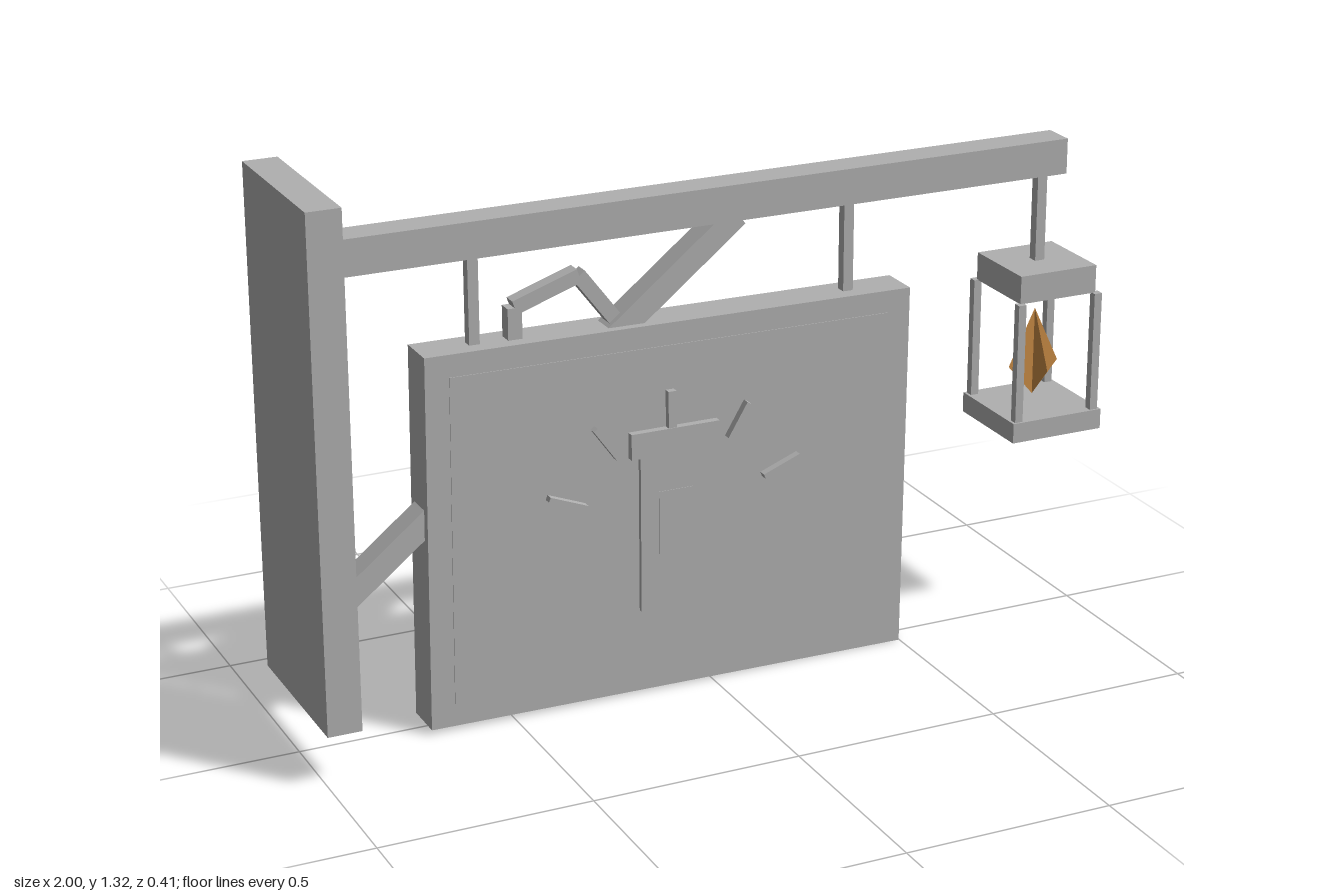
import * as THREE from 'three';

const grey = new THREE.MeshStandardMaterial({ color: 0xb0b0b0 });
grey.name = 'grey';
const amber = new THREE.MeshStandardMaterial({ color: 0xc98b45, side: THREE.DoubleSide });
amber.name = 'amber';

export function createModel() {
  const root = new THREE.Group();
  root.name = 'hangingSign';

  // box given by its extents on each axis
  function box(name, x0, x1, y0, y1, z0, z1, parent = root) {
    const m = new THREE.Mesh(new THREE.BoxGeometry(x1 - x0, y1 - y0, z1 - z0), grey);
    m.position.set((x0 + x1) / 2, (y0 + y1) / 2, (z0 + z1) / 2);
    m.name = name;
    parent.add(m);
    return m;
  }

  // square bar running between two points in the sign's plane
  function bar(name, [ax, ay], [bx, by], width, depth, z = 0, parent = root) {
    const length = Math.hypot(bx - ax, by - ay);
    const m = new THREE.Mesh(new THREE.BoxGeometry(length, width, depth), grey);
    m.position.set((ax + bx) / 2, (ay + by) / 2, z);
    m.rotation.z = Math.atan2(by - ay, bx - ax);
    m.name = name;
    parent.add(m);
    return m;
  }

  // wall plate, beam and diagonal brace
  box('wallPlate', -1, -0.92, 0.125, 1.32, -0.205, 0.205);
  box('beam', -0.92, 0.925, 1.11, 1.195, -0.04, 0.04);
  bar('brace', [-0.94, 0.31], [0.075, 1.12], 0.056, 0.06);

  // hanging rods
  for (const x of [-0.56, 0.365]) box('boardRod', x - 0.0125, x + 0.0125, 0.88, 1.12, -0.0125, 0.0125);
  box('lanternRod', 0.865, 0.89, 0.88, 1.12, -0.0125, 0.0125);

  // sign board, hanging very slightly crooked, with a faint inner panel
  const board = box('board', -0.697, 0.503, 0.005, 0.898, -0.05, 0.05);
  board.rotation.z = -0.01;
  const panel = box('boardPanel', -0.64, 0.445, 0.06, 0.845, -0.052, 0.052);
  panel.rotation.z = -0.01;

  // bent handle standing on the board
  const bend = [[-0.465, 0.88], [-0.465, 0.975], [-0.31, 1.028], [-0.205, 0.89]];
  for (let i = 0; i < 3; i++) bar('bentHandle', bend[i], bend[i + 1], 0.034, 0.034);

  // candle emblem and rays on both faces
  const rays = [
    [[-0.298, 0.678], [-0.242, 0.6]],
    [[-0.412, 0.53], [-0.32, 0.494]],
    [[0.037, 0.602], [0.085, 0.682]],
    [[0.125, 0.494], [0.217, 0.53]],
  ];
  for (const s of [1, -1]) {
    const emblem = new THREE.Group();
    emblem.name = s > 0 ? 'frontEmblem' : 'backEmblem';
    const plate = (name, x0, x1, y0, y1, z) =>
      box(name, x0, x1, y0, y1, Math.min(s * 0.045, s * z), Math.max(s * 0.045, s * z), emblem);
    plate('candleBody', -0.185, -0.01, 0.21, 0.6, 0.063);
    plate('candlePanel', -0.14, -0.055, 0.27, 0.5, 0.0645);
    plate('candleCap', -0.21, 0.01, 0.59, 0.652, 0.07);
    plate('wick', -0.117, -0.097, 0.65, 0.74, 0.068);
    for (const [a, b] of rays) bar('ray', a, b, 0.012, 0.022, s * 0.06, emblem);
    root.add(emblem);
  }

  // lantern
  const lantern = new THREE.Group();
  lantern.name = 'lantern';
  const cx = 0.877;
  box('lanternCap', cx - 0.102, cx + 0.102, 0.827, 0.895, -0.102, 0.102, lantern);
  box('lanternBase', cx - 0.12, cx + 0.12, 0.487, 0.536, -0.12, 0.12, lantern);
  for (const sx of [-1, 1]) for (const sz of [-1, 1]) {
    const x = cx + sx * 0.103, z = sz * 0.105;
    box('lanternPost', x - 0.01, x + 0.01, 0.53, 0.828, z - 0.01, z + 0.01, lantern);
  }

  // flame of two crossed kites
  const kite = new THREE.Shape([[0, 0.555], [0.067, 0.632], [0, 0.772], [-0.067, 0.632]]
    .map(([x, y]) => new THREE.Vector2(x, y)));
  for (const turn of [0, Math.PI / 2]) {
    const flame = new THREE.Mesh(new THREE.ShapeGeometry(kite), amber);
    flame.position.x = cx;
    flame.rotation.y = turn;
    flame.name = 'flame';
    lantern.add(flame);
  }
  root.add(lantern);

  return root;
}
